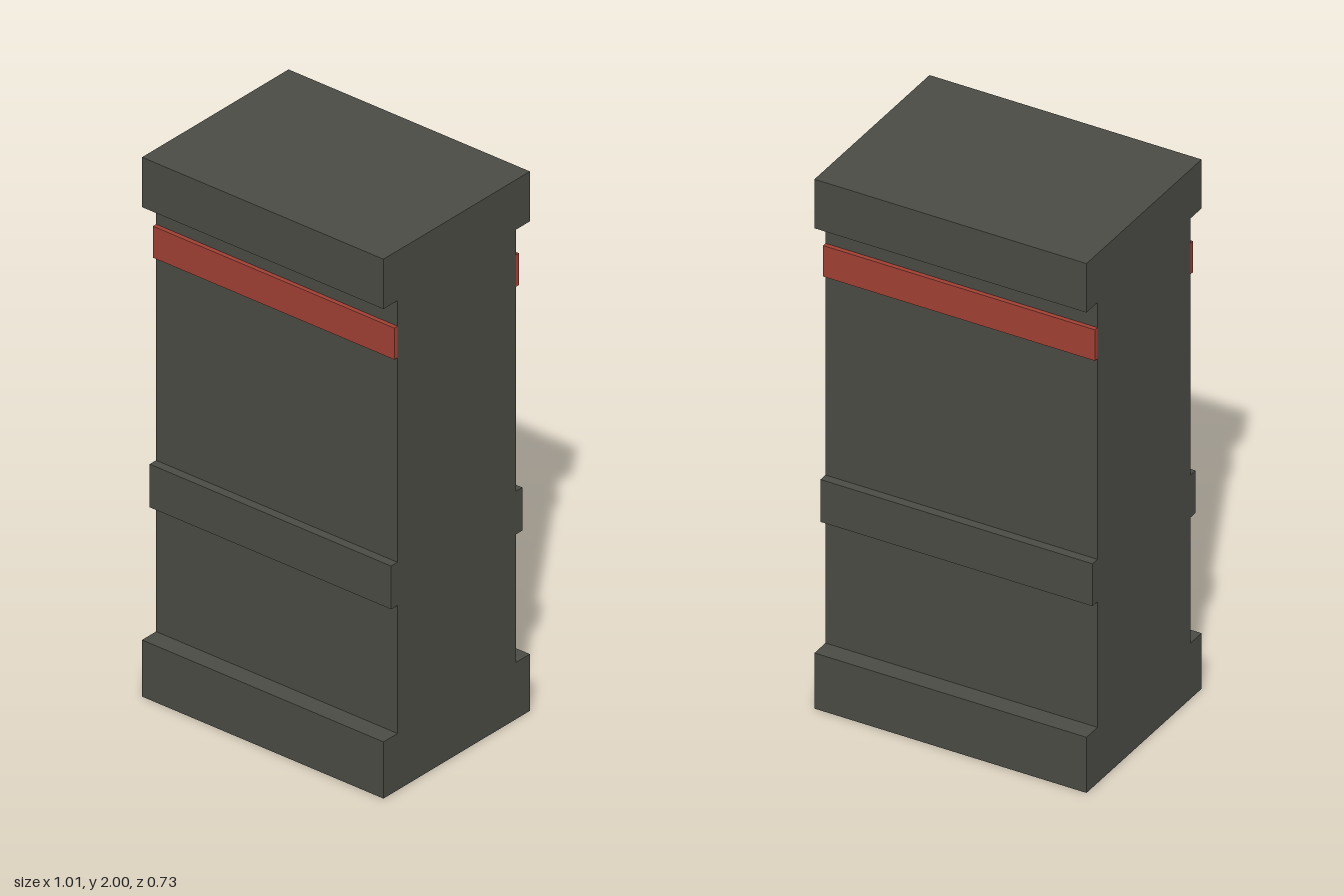
import * as THREE from 'three';

const WIDTH = 1.01;

export function createModel() {
  const model = new THREE.Group();
  model.name = 'pillar';
  const stone = new THREE.MeshStandardMaterial({ color: 0x4b4b45 });
  stone.name = 'dark grey';
  const red = new THREE.MeshStandardMaterial({ color: 0xa14034 });
  red.name = 'brick red';

  // Pillar body: stepped side profile (half depth, height), mirrored and extruded across the width
  const half = [
    [0.365, 0], [0.365, 0.21],                                  // foot
    [0.295, 0.21], [0.295, 0.685],                              // lower shaft
    [0.327, 0.685], [0.327, 0.845],                             // belt
    [0.295, 0.845], [0.295, 1.815],                             // upper shaft
    [0.365, 1.815], [0.365, 2],                                 // cap
  ];
  const outline = [...half, ...half.map(([z, y]) => [-z, y]).reverse()];
  const shape = new THREE.Shape(outline.map(([z, y]) => new THREE.Vector2(z, y)));
  const bodyGeometry = new THREE.ExtrudeGeometry(shape, { depth: WIDTH, bevelEnabled: false });
  bodyGeometry.translate(0, 0, -WIDTH / 2).rotateY(-Math.PI / 2);
  const body = new THREE.Mesh(bodyGeometry, stone);
  body.name = 'pillarBody';
  model.add(body);

  // Red stripes standing slightly proud of the front and back
  for (const side of [1, -1]) {
    const stripe = new THREE.Mesh(new THREE.BoxGeometry(WIDTH, 0.117, 0.016), red);
    stripe.name = side > 0 ? 'frontStripe' : 'backStripe';
    stripe.position.set(0, 1.662, side * 0.303);
    model.add(stripe);
  }
  return model;
}
